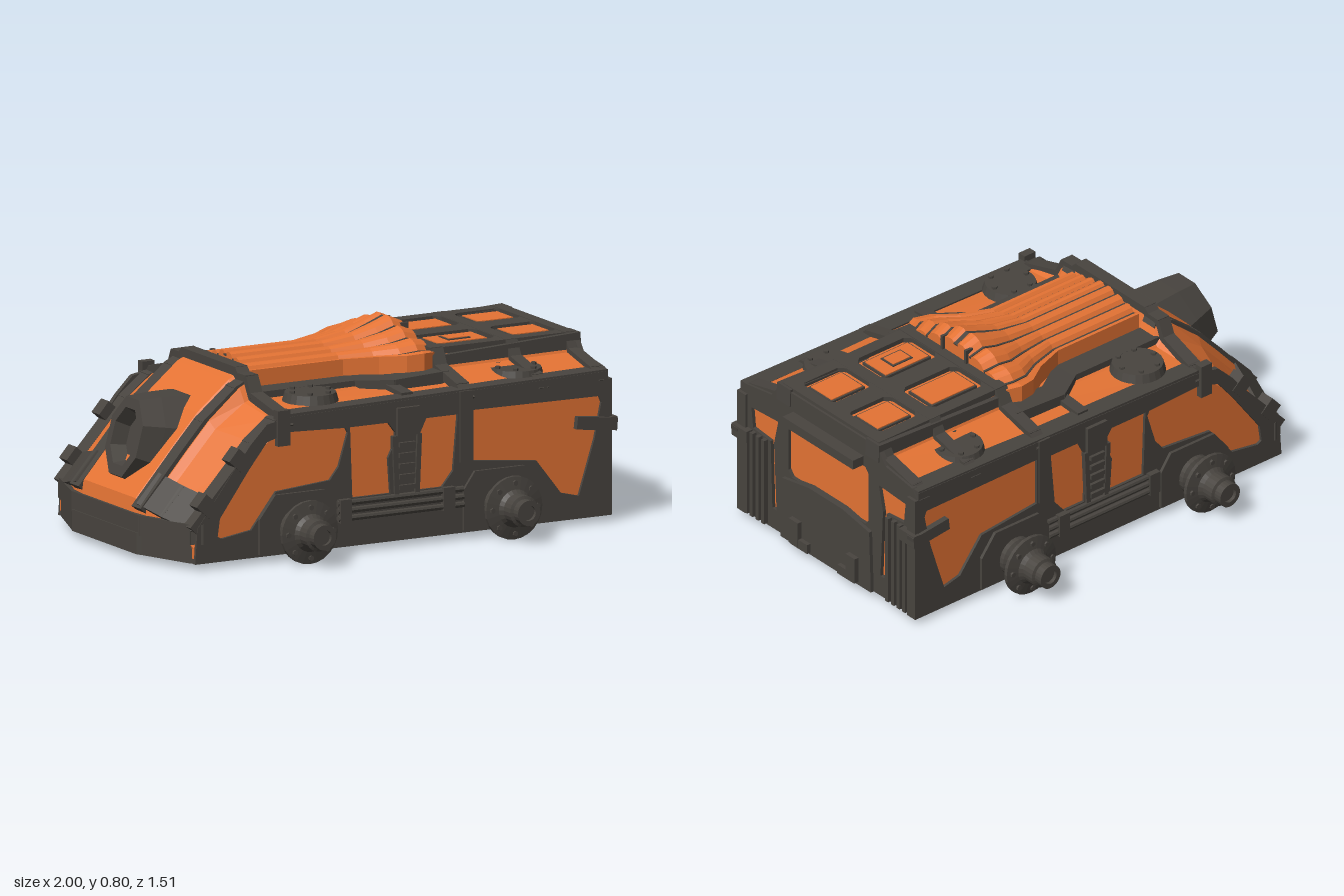
import * as THREE from 'three';

const V = (x, y, z) => new THREE.Vector3(x, y, z);
const lerp = THREE.MathUtils.lerp;

export function createModel() {
  const root = new THREE.Group();
  const orange = new THREE.MeshStandardMaterial({ color: 0xe47334, flatShading: true });
  orange.name = 'orange paint';
  const dark = new THREE.MeshStandardMaterial({ color: 0x48443f, flatShading: true });
  dark.name = 'dark iron';

  const add = (name, geo, mat = dark, x = 0, y = 0, z = 0) => {
    const m = new THREE.Mesh(geo, mat);
    m.name = name;
    m.position.set(x, y, z);
    root.add(m);
    return m;
  };
  const box = (name, x, y, z, w, h, d, mat = dark) => add(name, new THREE.BoxGeometry(w, h, d), mat, x, y, z);
  const both = fn => [1, -1].forEach(fn);
  const poly = pts => pts.map(p => new THREE.Vector2(p[0], p[1]));
  const plate = (pts, holes, depth) => {
    const s = new THREE.Shape(poly(pts));
    holes.forEach(h => s.holes.push(new THREE.Path(poly(h))));
    return new THREE.ExtrudeGeometry(s, { depth, bevelEnabled: false });
  };

  // Straight bar from a to b; side is the direction of its width
  const beam = (name, a, b, w, t, side) => {
    const d = b.clone().sub(a), len = d.length();
    const X = d.normalize(), Y = side.clone().cross(X).normalize(), Z = X.clone().cross(Y);
    const m = add(name, new THREE.BoxGeometry(len + t * 0.5, t, w));
    m.quaternion.setFromRotationMatrix(new THREE.Matrix4().makeBasis(X, Y, Z));
    m.position.copy(a).lerp(b, 0.5);
  };
  const strap = (name, pts, w, t, side) => {
    for (let i = 0; i < pts.length - 1; i++) beam(name, pts[i], pts[i + 1], w, t, side);
  };

  // Closed skin over cross-sections running from -z over the top to +z
  const loft = (name, rings, mat) => {
    const p = [], n = rings[0].length, tri = (...v) => v.forEach(q => p.push(q.x, q.y, q.z));
    for (let i = 0; i < rings.length - 1; i++) for (let j = 0; j < n; j++) {
      const k = (j + 1) % n, a = rings[i], b = rings[i + 1];
      tri(a[j], a[k], b[k]);
      tri(a[j], b[k], b[j]);
    }
    [rings[0], rings[rings.length - 1]].forEach((r, end) => {
      const c = r[0].clone().lerp(r[n - 1], 0.5);
      for (let j = 0; j < n - 1; j++) end ? tri(c, r[j], r[j + 1]) : tri(c, r[j + 1], r[j]);
    });
    const g = new THREE.BufferGeometry();
    g.setAttribute('position', new THREE.Float32BufferAttribute(p, 3));
    g.computeVertexNormals();
    add(name, g, mat);
  };

  // Hull: x, shoulder height, roof height; the nose centre bulges a little
  const stations = [[-0.985, 0.13, 0.15], [-0.975, 0.18, 0.22], [-0.8, 0.37, 0.42], [-0.7, 0.48, 0.53], [-0.56, 0.555, 0.645],
    [-0.49, 0.57, 0.68], [-0.46, 0.57, 0.615], [0.28, 0.585, 0.615], [0.31, 0.59, 0.692], [0.93, 0.597, 0.695]];
  const rake = (x, z) => x + 0.33 * Math.max(0, Math.abs(z) - 0.26) * THREE.MathUtils.clamp((-0.46 - x) / 0.24, 0, 1);
  const surf = (x, z, lift = 0) => {
    let i = 0;
    while (i < stations.length - 2 && x > stations[i + 1][0]) i++;
    const [a, b] = [stations[i], stations[i + 1]], t = (x - a[0]) / (b[0] - a[0]);
    const S = lerp(a[1], b[1], t), R = lerp(a[2], b[2], t), q = Math.abs(z), T = lerp(S, R, 0.42);
    const y = q <= 0.2 ? R + (x < -0.48 ? 0.02 : 0) : q <= 0.28 ? R : q < 0.31 ? lerp(R, T, (q - 0.28) / 0.03)
      : q <= 0.48 ? lerp(T, S, (q - 0.31) / 0.17) : S - (q - 0.48);
    return V(rake(x, z), y + lift, z);
  };
  const sectionZ = [-0.52, -0.48, -0.31, -0.28, -0.22, -0.2, 0.2, 0.22, 0.28, 0.31, 0.48, 0.52];
  loft('hull', stations.map(([x]) => [V(rake(x, 0.52), 0.05, -0.52),
    ...sectionZ.map(z => surf(x, z)), V(rake(x, 0.52), 0.05, 0.52)]), orange);

  // Chassis slab with pointed bow
  const slab = add('chassis', plate([[-1, -0.25], [-0.99, -0.27], [-0.905, -0.5], [-0.87, -0.53], [0.94, -0.53],
    [0.94, 0.53], [-0.87, 0.53], [-0.905, 0.5], [-0.99, 0.27], [-1, 0.25]], [], 0.085));
  slab.rotation.x = -Math.PI / 2;
  slab.position.y = 0.03;

  // Side frames with window openings
  const sideOutline = [[-0.9, 0.03], [0.945, 0.03], [0.94, 0.6], [-0.46, 0.57], [-0.58, 0.55], [-0.65, 0.48], [-0.73, 0.38], [-0.89, 0.17]];
  const sideHoles = [
    [[-0.8, 0.13], [-0.78, 0.12], [-0.65, 0.14], [-0.54, 0.28], [-0.3, 0.3], [-0.26, 0.35], [-0.22, 0.48], [-0.23, 0.5], [-0.48, 0.51], [-0.58, 0.48], [-0.66, 0.38], [-0.79, 0.2]],
    [[-0.2, 0.22], [-0.03, 0.22], [-0.04, 0.36], [-0.01, 0.42], [-0.01, 0.46], [-0.04, 0.5], [-0.21, 0.5]],
    [[0.1, 0.22], [0.2, 0.22], [0.25, 0.28], [0.27, 0.5], [0.13, 0.5], [0.1, 0.44], [0.09, 0.36]],
    [[0.34, 0.31], [0.62, 0.28], [0.73, 0.14], [0.81, 0.12], [0.88, 0.34], [0.91, 0.48], [0.9, 0.505], [0.34, 0.51]]];
  const arch = [[-0.17, -0.09], [0.17, -0.09], [0.17, 0.07], [0.12, 0.14], [-0.1, 0.14], [-0.17, 0.05]];
  const hub = [[0, 0], [0.08, 0], [0.08, 0.04], [0.065, 0.05], [0.065, 0.095], [0.125, 0.1], [0.125, 0.115], [0.075, 0.125],
    [0.062, 0.14], [0.062, 0.19], [0.05, 0.195], [0.05, 0.23], [0.03, 0.23], [0.03, 0.215], [0, 0.215]];
  both(s => {
    const z0 = (near, depth) => s > 0 ? near : -near - depth;
    add('sideFrame', plate(sideOutline, sideHoles, 0.022), dark, 0, 0, z0(0.51, 0.022));

    // Wheel hubs with bolted flanges
    [-0.45, 0.46].forEach((x, i) => {
      add('archPlate', plate(arch.map(p => [i ? -p[0] : p[0], p[1]]), [], 0.02), dark, x, 0.13, z0(0.525, 0.02));
      const g = new THREE.Group();
      g.name = 'wheelHub';
      g.position.set(x, 0.13, s * 0.525);
      g.rotation.x = s * Math.PI / 2;
      g.add(new THREE.Mesh(new THREE.LatheGeometry(poly(hub), 24), dark));
      for (let k = 0; k < 8; k++) {
        const b = new THREE.Mesh(new THREE.CylinderGeometry(0.011, 0.011, 0.012, 6), dark);
        b.position.set(0.1 * Math.cos(k * Math.PI / 4), 0.122, 0.1 * Math.sin(k * Math.PI / 4));
        g.add(b);
      }
      root.add(g);
    });

    // Pipes between the hubs and the ladder above them
    [0.145, 0.175, 0.205].forEach((y, i) => {
      const pipe = add('pipe', new THREE.CylinderGeometry(0.012, 0.012, 0.56, 8), dark, 0.01, y, s * (0.542 - i * 0.003));
      pipe.rotation.z = Math.PI / 2;
      [-0.24, 0.22].forEach(x => box('pipeClamp', x, y, s * 0.54, 0.05, 0.032, 0.034));
    });
    for (let i = 0; i < 5; i++) box('ladderRung', 0.04, 0.24 + i * 0.042, s * 0.535, 0.07, 0.018, 0.02);
    both(e => beam('ladderRail', V(0.04 + e * 0.045, 0.21, s * 0.532), V(0.04 + e * 0.055, 0.44, s * 0.532), 0.02, 0.02, V(0, 0, 1)));
    box('ladderBracket', 0.045, 0.5, s * 0.535, 0.1, 0.11, 0.025);

    // Clamps and posts along the side
    box('rearCornerClamp', 0.885, 0.4, s * 0.525, 0.18, 0.05, 0.04).rotation.z = -0.12;
    box('sidePost', 0.305, 0.45, s * 0.527, 0.055, 0.28, 0.025);
    box('strapEnd', -0.51, 0.53, s * 0.527, 0.055, 0.14, 0.035);
    [[-0.845, 0.255], [-0.7, 0.42]].forEach(([x, y]) => { box('noseClamp', x, y, s * 0.505, 0.065, 0.075, 0.06).rotation.z = 0.85; });

    // Longitudinal ribs
    const along = (z, xs, lift) => xs.map(x => surf(x, z, lift));
    const side = V(0, 0, 1), nose = [-0.975, -0.8, -0.7, -0.56, -0.49];
    strap('shoulderEdge', along(s * 0.49, [...nose, 0.93], 0), 0.08, 0.04, side);
    strap('noseRib', along(s * 0.24, nose, -0.012), 0.07, 0.04, side);
    strap('roofRail', along(s * 0.265, [0.3, 0.93], -0.022), 0.08, 0.075, side);
    strap('cowlRail', [V(-0.48, 0.59, s * 0.25), V(-0.04, 0.59, s * 0.25), V(0.09, 0.595, s * 0.335), V(0.3, 0.605, s * 0.335)], 0.1, 0.07, side);
    strap('bowLip', [V(-0.98, 0.145, 0), V(-0.98, 0.145, s * 0.26), V(-0.9, 0.145, s * 0.5), V(-0.865, 0.145, s * 0.52)], 0.08, 0.03, V(0, 1, 0));
    strap('bowShoulder', [0.24, 0.36, 0.5].map(z => surf(-0.93, s * z, 0)), 0.15, 0.035, V(1, 1.1, 0));
    strap('crossRib', [0.3, 0.35, 0.48].map(z => surf(0.07, s * z, 0.005)), 0.05, 0.03, V(1, 0, 0));

    // Round hatches
    [-0.3, 0.615].forEach(x => {
      add('hatch', new THREE.CylinderGeometry(0.1, 0.11, 0.035, 24), dark, x, 0.607, s * 0.38);
      for (let k = 0; k < 6; k++) add('hatchBolt', new THREE.CylinderGeometry(0.011, 0.011, 0.012, 6), dark,
        x + 0.08 * Math.cos(k * Math.PI / 3), 0.628, s * 0.38 + 0.08 * Math.sin(k * Math.PI / 3));
    });

    // Rear louvres, latches and lugs
    for (let k = 0; k < 4; k++) box('rearLouvre', 0.95, 0.23, s * (0.37 + k * 0.034), 0.03, 0.38, 0.018);
    box('rearCornerPost', 0.94, 0.3, s * 0.507, 0.035, 0.54, 0.05);
    box('rearLatch', 0.965, 0.1, s * 0.17, 0.03, 0.11, 0.055);
    box('rearLatchFoot', 0.965, 0.06, s * 0.14, 0.025, 0.04, 0.1);
    box('rearClampTail', 0.96, 0.395, s * 0.5, 0.03, 0.05, 0.09);
    box('cowlBracket', 0.295, 0.735, s * 0.07, 0.035, 0.08, 0.012);
  });

  // Straps across the roof
  const across = (x, zs, w, t) => strap('crossStrap', zs.map(z => surf(x, z, 0.006)), w, t, V(1, 0, 0));
  [-0.51, 0.315].forEach(x => across(x, sectionZ, 0.055, 0.035));
  [0.65, 0.91].forEach(x => across(x, sectionZ, 0.05, 0.026));

  // Rear roof frame with four raised, outlined hatch panels
  const cells = [];
  [[0.345, 0.62], [0.68, 0.895]].forEach(([x0, x1], i) => both(s => {
    const [a, b] = s > 0 ? [0.045, 0.23] : [-0.23, -0.045], c = 0.025, x = (x0 + x1) / 2, z = s * 0.1375;
    cells.push([[x0 + c, a], [x1 - c, a], [x1, a + c], [x1, b - c], [x1 - c, b], [x0 + c, b], [x0, b - c], [x0, a + c]]);
    box('roofPanelEdge', x, 0.698, z, x1 - x0 - 0.045, 0.012, 0.14);
    box('roofPanel', x, 0.702, z, x1 - x0 - 0.06, 0.012, 0.125, orange);
    if (i === 0 && s > 0) {
      box('roofPlateEdge', x, 0.707, z, 0.1, 0.01, 0.075);
      box('roofPlate', x, 0.71, z, 0.085, 0.01, 0.06, orange);
    }
  }));
  const roof = add('roofFrame', plate([[0.3, -0.285], [0.93, -0.285], [0.93, 0.285], [0.3, 0.285]], cells, 0.026), dark, 0, 0.686, 0);
  roof.rotation.x = -Math.PI / 2;

  // Ridged cowl flaring and rising to the rear: x, half width, edge height, crest height
  const cowl = [[-0.46, 0.2, 0.69, 0.735], [-0.05, 0.2, 0.69, 0.735], [0.08, 0.25, 0.695, 0.755], [0.17, 0.31, 0.7, 0.785],
    [0.24, 0.325, 0.705, 0.812], [0.3, 0.3, 0.7, 0.785]];
  const crest = ([, , e, c], u) => lerp(c, e, Math.pow(Math.abs(u), 1.2));
  loft('ridgedCowl', cowl.map(st => {
    const [x, w] = st, r = [V(x, 0.6, -w)];
    for (let i = 0; i <= 28; i++) {
      const u = i / 14 - 1;
      r.push(V(x, crest(st, u) - (i % 4 === 2 ? 0.022 : i % 2 ? 0.004 : 0), u * w));
    }
    return [...r, V(x, 0.6, w)];
  }), orange);
  // Dark seams in the cowl grooves
  for (let i = 2; i <= 26; i += 4) {
    const u = i / 14 - 1;
    strap('cowlSeam', cowl.map(st => V(st[0], crest(st, u) - 0.02, u * st[1])), i === 14 ? 0.02 : 0.009, 0.008, V(0, 0, 1));
  }

  // Octagonal lamp housing on the nose
  const lamp = [[0, -0.06], [0.095, -0.06], [0.12, 0], [0.165, 0], [0.195, -0.09], [0.225, -0.2], [0.235, -0.29], [0.17, -0.38], [0, -0.38]];
  const lampMesh = add('lampHousing', new THREE.LatheGeometry(poly(lamp).reverse(), 8, Math.PI / 8), dark, -0.912, 0.44, 0);
  lampMesh.rotation.z = Math.PI / 2 - 0.26;
  lampMesh.scale.z = 0.78;

  // Rear wall with openings
  const wall = plate([[-0.53, 0.03], [0.53, 0.03], [0.53, 0.57], [0.5, 0.61], [0.34, 0.635], [0.29, 0.7], [-0.29, 0.7], [-0.34, 0.635], [-0.5, 0.61], [-0.53, 0.57]],
    [[[-0.24, 0.34], [-0.22, 0.315], [0.22, 0.315], [0.24, 0.34], [0.24, 0.55], [0.22, 0.575], [-0.22, 0.575], [-0.24, 0.55]],
      ...[1, -1].map(s => [[0.31, 0.12], [0.335, 0.12], [0.345, 0.42], [0.45, 0.43], [0.46, 0.52], [0.3, 0.53], [0.325, 0.42]].map(p => [s * p[0], p[1]]))], 0.022);
  add('rearWall', wall, dark, 0.923, 0, 0).rotation.y = Math.PI / 2;
  const ramp = plate([[-0.27, 0.03], [0.27, 0.03], [0.26, 0.3], [0.1, 0.33], [-0.1, 0.33], [-0.26, 0.3]], [], 0.03);
  add('rearRamp', ramp, dark, 0.93, 0, 0).rotation.y = Math.PI / 2;
  box('rearBar', 0.965, 0.6, 0, 0.07, 0.04, 0.42);
  return root;
}
